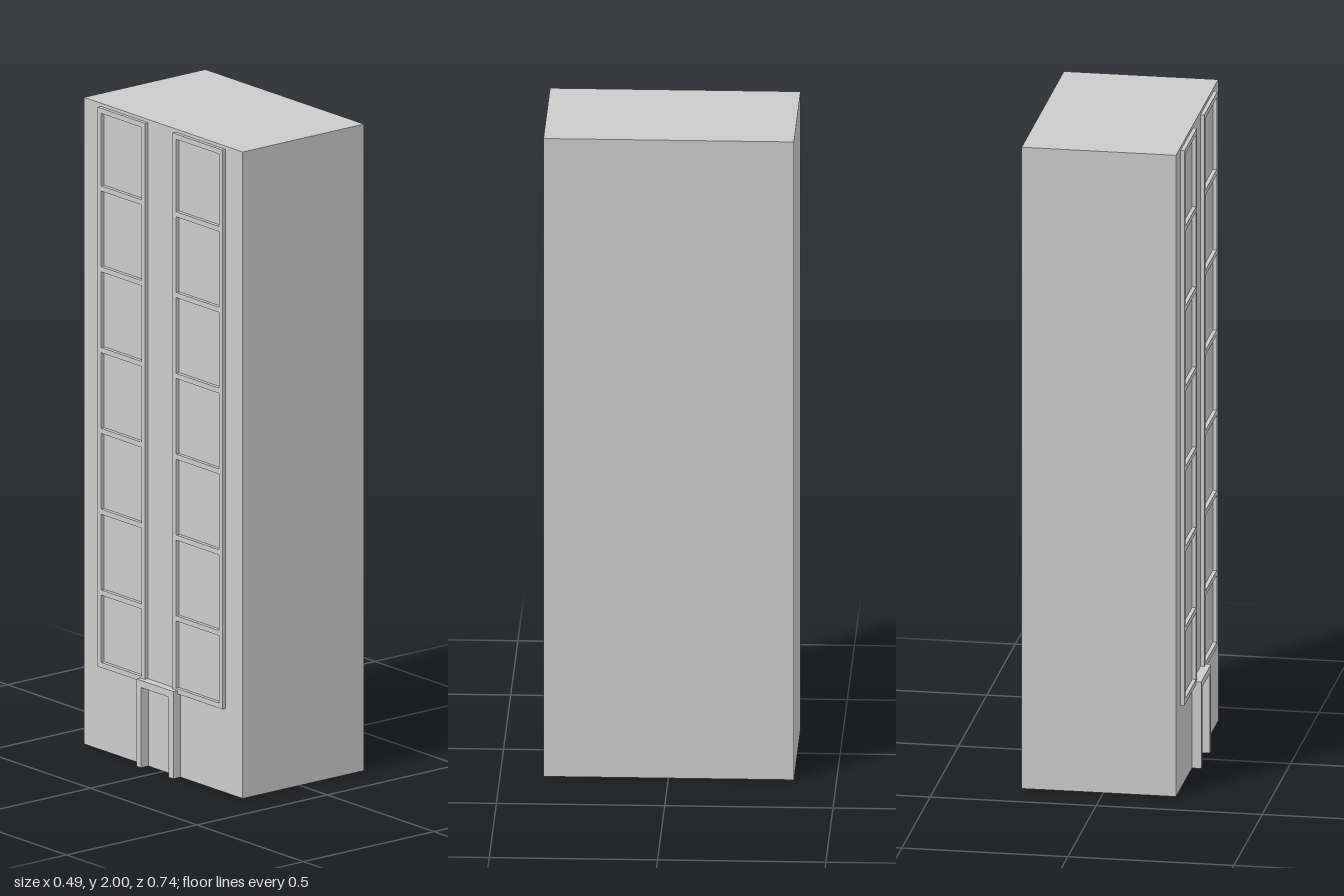
import * as THREE from 'three';

const material = new THREE.MeshStandardMaterial({ color: 0xcccccc, flatShading: true });
const WALL = -0.219; // x of the facade that carries the window frames and the door

function rectangle(target, x0, y0, x1, y1) {
  target.moveTo(x0, y0);
  target.lineTo(x1, y0);
  target.lineTo(x1, y1);
  target.lineTo(x0, y1);
  target.closePath();
  return target;
}

// Extrudes a shape drawn in (z, y) outwards from the facade, towards -x
function onFacade(name, shape, depth) {
  const geometry = new THREE.ExtrudeGeometry(shape, { depth, bevelEnabled: false });
  geometry.rotateY(-Math.PI / 2);
  const mesh = new THREE.Mesh(geometry, material);
  mesh.name = name;
  mesh.position.x = WALL;
  return mesh;
}

// Tall frame with one opening per storey
function windowColumn(name, z0, z1) {
  const bottom = 0.26, top = 1.99, bar = 0.016;
  const rails = [bottom + bar / 2];
  for (let i = 0; i < 6; i++) rails.push(0.492 + i * 0.25);
  rails.push(top - bar / 2);

  const shape = rectangle(new THREE.Shape(), z0, bottom, z1, top);
  for (let i = 0; i < rails.length - 1; i++) {
    shape.holes.push(rectangle(new THREE.Path(),
      z0 + bar, rails[i] + bar / 2, z1 - bar, rails[i + 1] - bar / 2));
  }
  return onFacade(name, shape, 0.012);
}

// Door surround: two posts and a lintel, open at the ground
function doorFrame() {
  const z0 = -0.093, z1 = 0.08, top = 0.27, post = 0.022;
  const shape = new THREE.Shape([
    [z0, 0], [z0 + post, 0], [z0 + post, top - post], [z1 - post, top - post],
    [z1 - post, 0], [z1, 0], [z1, top], [z0, top],
  ].map(([z, y]) => new THREE.Vector2(z, y)));
  return onFacade('doorFrame', shape, 0.028);
}

export function createModel() {
  const group = new THREE.Group();
  group.name = 'towerBlock';

  // Plain building body
  const body = new THREE.Mesh(new THREE.BoxGeometry(0.465, 2, 0.744), material);
  body.name = 'buildingBody';
  body.position.set(0.0135, 1, -0.001);

  group.add(
    body,
    windowColumn('rearWindowFrames', -0.295, -0.073),
    windowColumn('frontWindowFrames', 0.057, 0.29),
    doorFrame(),
  );
  return group;
}
